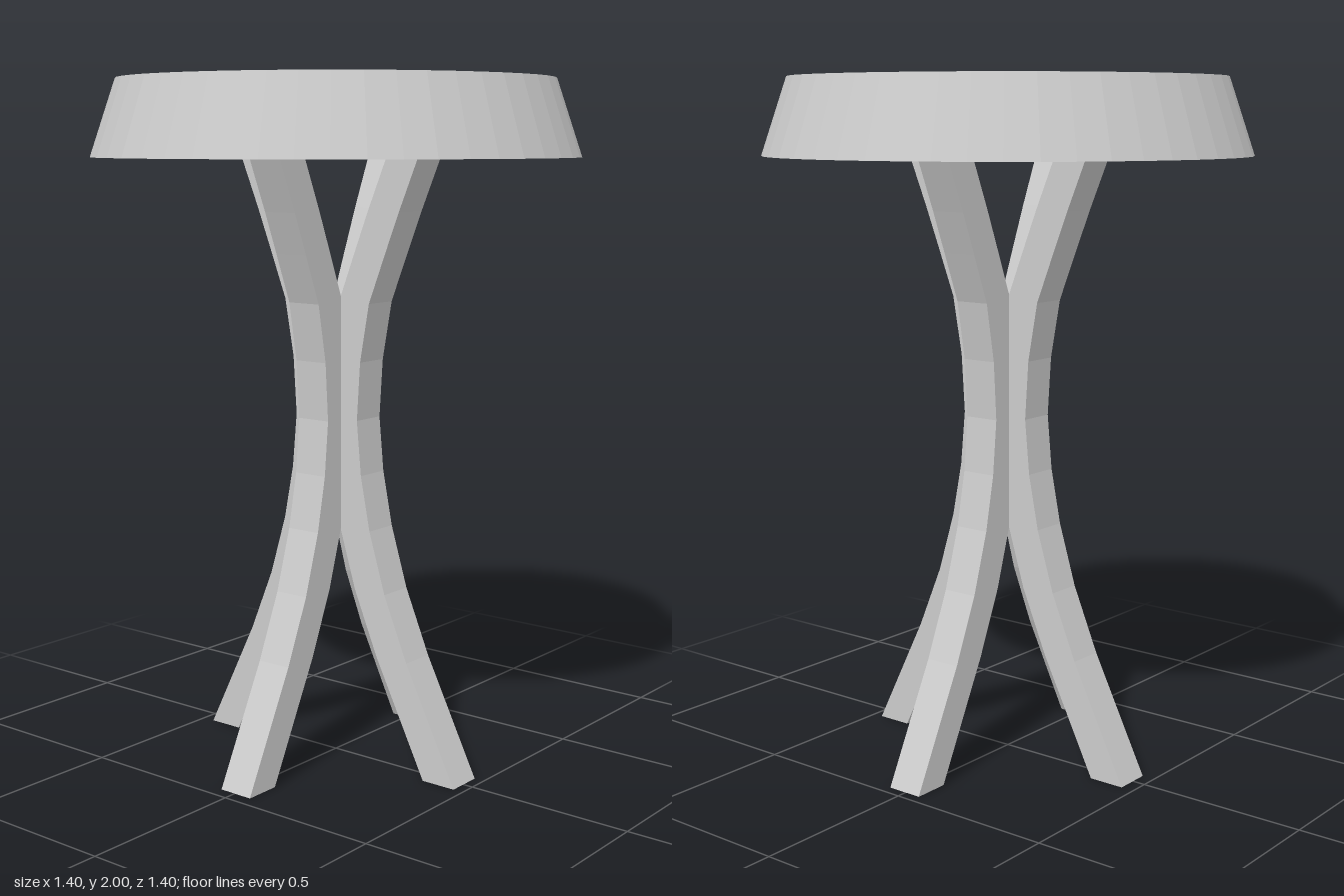
import * as THREE from 'three';

export function createModel() {
  const model = new THREE.Group();
  model.name = 'stool';
  const material = new THREE.MeshStandardMaterial({ color: 0xcccccc, flatShading: true });

  // Tapered round seat
  const seat = new THREE.Mesh(new THREE.CylinderGeometry(0.625, 0.7, 0.22, 48), material);
  seat.name = 'seat';
  seat.position.y = 1.89;
  model.add(seat);

  // Outer edge of a curved leg as [radius, height]; the inner edge is shifted inwards
  const width = 0.108;
  const outer = [
    [0.465, 0], [0.295, 0.34], [0.215, 0.53], [0.16, 0.71], [0.128, 0.87], [0.113, 1.03],
    [0.124, 1.2], [0.155, 1.37], [0.21, 1.51], [0.258, 1.63], [0.322, 1.78],
  ].map(([r, y]) => new THREE.Vector2(r, y));
  const inner = outer.map((p) => new THREE.Vector2(p.x - width, p.y)).reverse();
  const legGeometry = new THREE.ExtrudeGeometry(new THREE.Shape([...outer, ...inner]), {
    depth: width, bevelEnabled: false,
  });
  legGeometry.translate(0, 0, -width / 2);

  // Four legs back to back around the centre
  const legs = new THREE.Group();
  legs.name = 'legs';
  legs.position.set(0.004, 0, 0.004);
  ['leftLeg', 'backLeg', 'rightLeg', 'frontLeg'].forEach((name, i) => {
    const leg = new THREE.Mesh(legGeometry, material);
    leg.name = name;
    leg.rotation.y = (i * Math.PI) / 2;
    legs.add(leg);
  });
  model.add(legs);

  return model;
}
